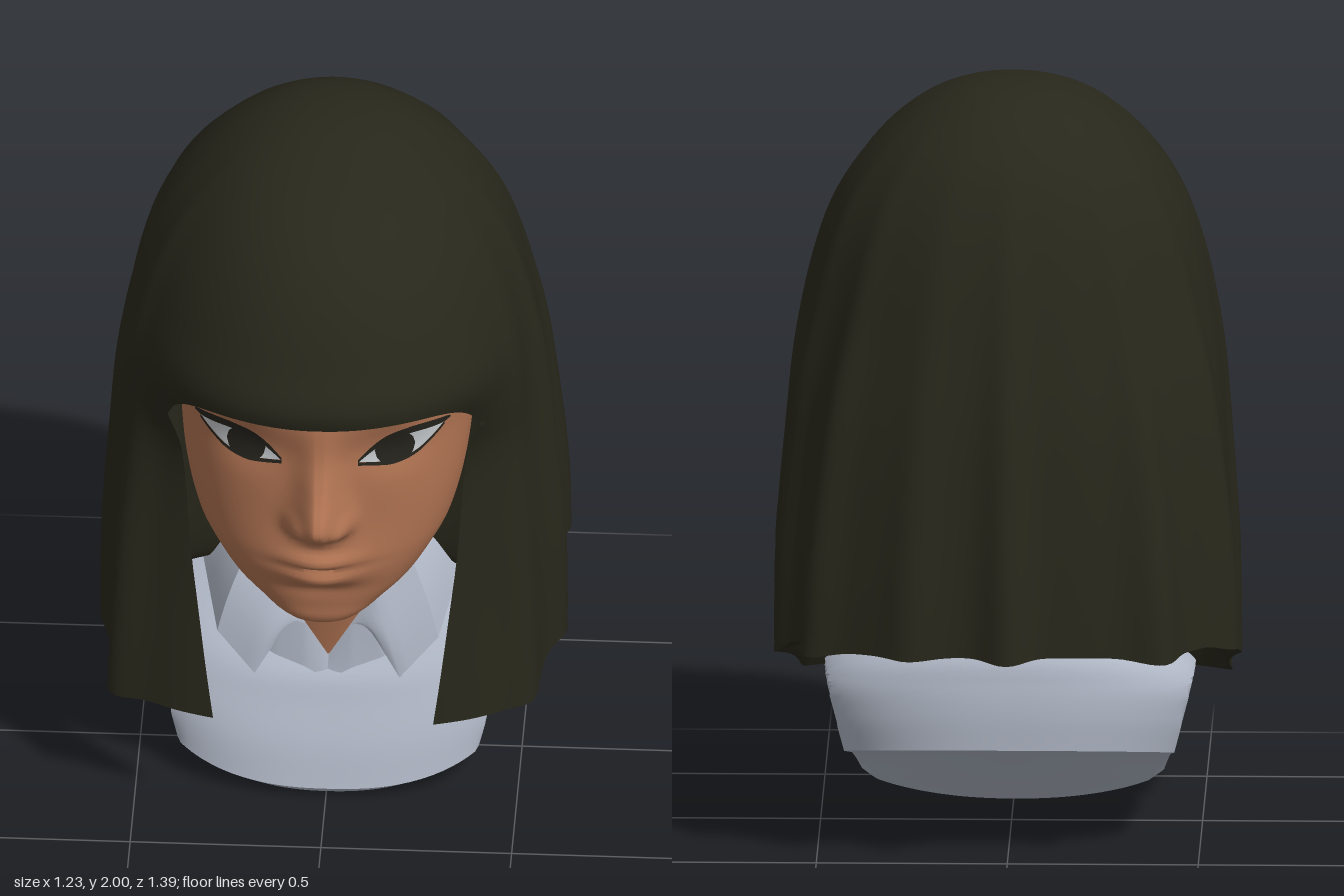
import * as THREE from 'three';
import { toCreasedNormals } from 'three/addons/utils/BufferGeometryUtils.js';

const mat = (name, color) => {
  const m = new THREE.MeshStandardMaterial({ color, side: THREE.DoubleSide });
  m.name = name;
  return m;
};
const rad = Math.PI / 180;
const { clamp, lerp, smoothstep } = THREE.MathUtils;
const bell = (d, w) => Math.exp(-(d * d) / (w * w));

// Smooth curve through [t, value] keys with rising t
function curve(keys) {
  const slope = i => {
    const a = keys[Math.max(i - 1, 0)], b = keys[Math.min(i + 1, keys.length - 1)];
    return (b[1] - a[1]) / (b[0] - a[0]);
  };
  return t => {
    t = clamp(t, keys[0][0], keys[keys.length - 1][0]);
    let i = 0;
    while (i < keys.length - 2 && t > keys[i + 1][0]) i++;
    const [t0, p0] = keys[i], [t1, p1] = keys[i + 1], d = t1 - t0, s = (t - t0) / d, q = s * s, c = q * s;
    return p0 * (2 * c - 3 * q + 1) + slope(i) * d * (c - 2 * q + s) + p1 * (3 * q - 2 * c) + slope(i + 1) * d * (c - q);
  };
}

// Radius of a rounded-square oval at an angle measured from the front
const oval = (a, w, d, n) =>
  Math.pow(Math.pow(Math.abs(Math.sin(a)) / w, n) + Math.pow(Math.abs(Math.cos(a)) / d, n), -1 / n);

// Surface from a rule giving a point for each (u, v)
function grid(name, material, nu, nv, crease, rule) {
  const pos = [], idx = [];
  for (let j = 0; j <= nv; j++) for (let i = 0; i <= nu; i++) pos.push(...rule(i / nu, j / nv));
  for (let j = 0; j < nv; j++) for (let i = 0; i < nu; i++) {
    const a = j * (nu + 1) + i, b = a + 1, c = a + nu + 1, d = c + 1;
    idx.push(a, b, d, a, d, c);
  }
  const g = new THREE.BufferGeometry();
  g.setAttribute('position', new THREE.Float32BufferAttribute(pos, 3));
  g.setIndex(idx);
  const mesh = new THREE.Mesh(toCreasedNormals(g, crease), material);
  mesh.name = name;
  return mesh;
}

// Head: half width, front and back by height
const headRows = [[.705, .02, .45, .4], [.715, .07, .5, .33], [.74, .125, .525, .25], [.78, .178, .53, .18],
  [.83, .238, .535, .1], [.9, .292, .545, 0], [.97, .335, .55, -.1], [1.1, .37, .555, -.2], [1.25, .385, .56, -.3],
  [1.4, .385, .565, -.33], [1.55, .35, .5, -.33], [1.7, .18, .28, -.2], [1.74, .01, .06, .04]];
const [headW, headF, headB] = [1, 2, 3].map(k => curve(headRows.map(r => [r[0], r[k]])));
const noseHeight = curve([[.99, 0], [1.03, .035], [1.06, .09], [1.1, .13], [1.13, .122], [1.18, .085], [1.25, .045], [1.32, .022], [1.42, .01], [1.5, 0]]);
const noseWidth = curve([[1, .06], [1.1, .06], [1.2, .052], [1.32, .055], [1.45, .08]]);
const headN = 2.5;

function features(x, y) {
  const ax = Math.abs(x);
  return noseHeight(y) * bell(x, noseWidth(y))
    + .035 * bell(ax - .06, .028) * bell(y - 1.075, .03)
    + .035 * bell(x, .14) * bell(y - .94, .09)
    + .022 * bell(x, .085) * bell(y - .96, .022)
    + .022 * bell(x, .08) * bell(y - .9, .027)
    - .01 * bell(x, .11) * bell(y - .932, .011)
    - .01 * bell(x, .1) * bell(y - .85, .025)
    - .022 * bell(ax - .18, .1) * bell(y - 1.29, .07)
    + .01 * bell(ax - .2, .1) * bell(y - 1.4, .035);
}
function faceZ(x, y) {
  const f = headF(y), b = headB(y);
  const k = Math.max(0, 1 - Math.pow(Math.abs(x) / headW(y), headN));
  return (f + b) / 2 + (f - b) / 2 * Math.pow(k, 1 / headN) + features(x, y);
}
function headPoint(u, v) {
  const s = 2 * u - 1, a = Math.PI * s * (.4 + .6 * s * s), y = .705 + 1.035 * v;
  const f = headF(y), b = headB(y), r = oval(a, headW(y), (f - b) / 2, headN);
  const x = r * Math.sin(a), c = Math.cos(a);
  return [x, y, (f + b) / 2 + r * c + (c > 0 ? features(x, y) * Math.min(1, c * 4) : 0)];
}

// Hair: half width, front, back and squareness by height
const byHeight = keys => {
  const c = curve(keys.map(([y, v]) => [Math.sqrt(2 - y), v]));
  return y => c(Math.sqrt(Math.max(0, 2 - y)));
};
const hairW = byHeight([[2, .0003], [1.99, .1], [1.9, .28], [1.75, .415], [1.6, .485], [1.3, .545], [1, .565], [.7, .578], [.3, .58]]);
const hairF = byHeight([[2, .0003], [1.97, .2], [1.9, .4], [1.8, .53], [1.6, .65], [1.45, .69], [1.3, .53], [1.15, .41], [.8, .385], [.33, .41]]);
const hairB = byHeight([[2, .0003], [1.98, .15], [1.9, .29], [1.8, .385], [1.6, .48], [1.25, .57], [1, .605], [.58, .64], [.3, .64]]);
const hairN = byHeight([[2, 2.1], [1.45, 2.2], [1, 2.8], [.3, 3.3]]);
const hairEdge = curve([[.33, 36], [.6, 41], [.85, 45], [1.1, 47], [1.3, 47], [2, 47]]);
const hem = curve([[36, .33], [62, .35], [70, .385], [83, .45], [113, .55], [135, .575], [180, .59]]);
const fringeHem = curve([[0, 1.445], [20, 1.443], [32, 1.415], [42, 1.34], [49, 1.25]]);
const ridges = [62, 83, 113, 134, 158, 180, 214, 240, 277, 298];
const ridge = deg => ridges.reduce((t, p, i) => t + bell(deg - p, 5.5) * (i % 4 ? 1 : .5), 0);

function hairPoint(deg, y, inset) {
  const a = deg * rad;
  let r = oval(a, hairW(y), Math.cos(a) > 0 ? hairF(y) : hairB(y), hairN(y));
  r *= 1 + .078 * clamp((1.97 - y) / 1.2, 0, 1) * ridge(deg);
  r = Math.max(0, r - inset);
  return [r * Math.sin(a), y, r * Math.cos(a)];
}
// Sheet going down the outside to the hem, then up the inside or, where tucked, in to the neck
function hairSheet(name, material, nu, angle, hemAt, tuckAt) {
  return grid(name, material, nu, 60, .8, (u, v) => {
    const a = 2 * u - 1, h = hemAt(a), t = v / .75;
    if (t <= 1) {
      const y = 2 - (2 - h) * t * t;
      return hairPoint(angle(a, y), y, 0);
    }
    const k = (t - 1) * 3, tuck = tuckAt(Math.abs(a));
    const y = lerp(h + (1.65 - h) * k, h + .12 * k, tuck);
    return hairPoint(angle(a, y), y, lerp(.06 * Math.min(1, (1 - Math.abs(a)) * 8), .05 + .37 * k, tuck));
  });
}

// Shirt rings: half width, front, back, then heights at front, side and back
const rings = [[.49, .27, -.44, .03, .2, .29], [.52, .24, -.44, .14, .31, .38], [.52, .2, -.43, .24, .41, .46],
  [.44, .17, -.41, .31, .5, .53], [.25, .125, -.34, .36, .58, .61]];
const ringAt = [0, 1, 2, 3, 4, 5].map(k => curve(rings.map((r, i) => [i, r[k]])));
function shirtPoint(u, t) {
  const a = u * 2 * Math.PI, [w, f, b, yf, ys, yb] = ringAt.map(c => c(t));
  const r = oval(a, w, (f - b) / 2, 2.4), z = r * Math.cos(a), zn = z / ((f - b) / 2);
  const y = zn > 0 ? lerp(ys, yf, Math.pow(zn, 1.3)) : lerp(ys, yb, -zn);
  const cut = .41 + .25 * (y - .16);
  return [clamp(r * Math.sin(a), -cut, cut), y, (f + b) / 2 + z];
}

export function createModel() {
  const model = new THREE.Group();
  const hair = mat('dark hair', 0x28271b), skin = mat('skin', 0xb07352), shirt = mat('pale grey shirt', 0xb0b7c5);
  const white = mat('eye white', 0xc6cacd), dark = mat('eye and brow dark', 0x25231c);

  // Head and neck
  model.add(grid('head', skin, 128, 90, 1, headPoint));
  const neckZ = curve([[.3, -.1], [.45, -.08], [.65, -.04], [1, .03]]);
  model.add(grid('neck', skin, 40, 10, 1, (u, v) => {
    const a = u * 2 * Math.PI, y = .3 + .7 * v;
    return [(.215 + .025 * v) * Math.sin(a), y, neckZ(y) + (.2 + .04 * v) * Math.cos(a)];
  }));

  // Eyes, lashes and brows as thin sheets on the face
  const upper = curve([[.1, 1.262], [.14, 1.293], [.18, 1.318], [.235, 1.33], [.28, 1.327], [.32, 1.318]]);
  const lower = curve([[.1, 1.258], [.15, 1.25], [.195, 1.247], [.25, 1.262], [.29, 1.29], [.32, 1.314]]);
  const iris = x => Math.sqrt(Math.max(0, .052 * .052 - (x - .195) ** 2));
  const browMid = curve([[.085, 1.383], [.17, 1.403], [.26, 1.42], [.33, 1.405]]);
  const browHalf = curve([[.085, .009], [.12, .014], [.24, .012], [.33, .002]]);
  const lash = curve([[.1, .005], [.16, .018], [.26, .021], [.32, .014], [.335, .003]]);
  for (const side of [-1, 1]) {
    const label = side > 0 ? 'left' : 'right';
    const sheet = (name, m, x0, x1, lo, hi, off) => model.add(grid(label + name, m, 20, 5, 1, (u, v) => {
      const x = x0 + (x1 - x0) * u, a = lo(x), y = a + (hi(x) - a) * v;
      return [side * x, y, faceZ(x, y) + off];
    }));
    sheet('EyeWhite', white, .1, .32, lower, upper, .004);
    sheet('Iris', dark, .143, .247, x => Math.max(lower(x), 1.288 - iris(x)), x => Math.min(upper(x), 1.288 + iris(x)), .007);
    sheet('UpperLash', dark, .1, .335, x => upper(x) - .003, x => upper(x) + lash(x), .009);
    sheet('LowerLash', dark, .1, .32, x => lower(x) - .008, x => lower(x) + .002, .008);
    sheet('Brow', dark, .085, .33, x => browMid(x) - browHalf(x), x => browMid(x) + browHalf(x), .006);
  }

  // Hair: long sides and back, then the fringe
  model.add(hairSheet('longHair', hair, 180, (a, y) => 180 - a * (180 - hairEdge(y)), a => {
    const deg = 180 - a * 144;
    return hem(deg > 180 ? 360 - deg : deg) - .015 * ridge(deg);
  }, s => 1 - smoothstep(s, .6, .8)));
  model.add(hairSheet('fringe', hair, 48, a => a * 49, a => fringeHem(Math.abs(a) * 49), () => 0));

  // Shirt body with cut-off shoulders, and its closed base
  model.add(grid('shirt', shirt, 120, 36, .5, (u, v) => shirtPoint(u, v * 4)));
  model.add(grid('shirtBase', shirt, 96, 2, .5, (u, v) => {
    const [x, y, z] = shirtPoint(u, 0);
    if (v === 0) return [x, y, z];
    if (v === 1) return [0, .2, -.1];
    return [x * .93, y - .03 * Math.max(0, Math.cos(u * 2 * Math.PI)), -.1 + (z + .1) * .91];
  }));

  // Collar stations from front to back, each with a top and bottom point: upright stand, then folded flap
  const stand = [[0, .37, .145, 0, .3, .16], [.06, .475, .15, .06, .34, .16], [.12, .57, .145, .14, .37, .15], [.2, .68, .09, .24, .42, .11]];
  const flap = [[.058, .473, .155, .1, .49, .165], [.09, .525, .155, .145, .42, .19], [.12, .575, .15, .19, .345, .205],
    [.2, .69, .095, .29, .45, .165], [.25, .7, -.08, .35, .56, -.1], [.18, .71, -.26, .26, .57, -.34], [0, .71, -.31, 0, .57, -.42]];
  for (const side of [-1, 1]) {
    const label = side > 0 ? 'left' : 'right';
    const band = (name, stations, puff) => model.add(grid(label + name, shirt, 24, 6, .6, (u, v) => {
      const n = stations.length - 1, t = u * n, i = Math.min(n - 1, Math.floor(t));
      const e = stations[i].map((p, k) => lerp(p, stations[i + 1][k], t - i));
      const bulge = puff * Math.sin(Math.PI * v) * Math.min(1, u * 4);
      const p = [0, 1, 2].map(k => lerp(e[k], e[k + 3], v));
      return [side * p[0] * (1 + bulge * 2), p[1] + bulge, p[2] + bulge * (u < .6 ? 1 : -1)];
    }));
    band('CollarStand', stand, 0);
    band('CollarFlap', flap, .012);
  }
  return model;
}
